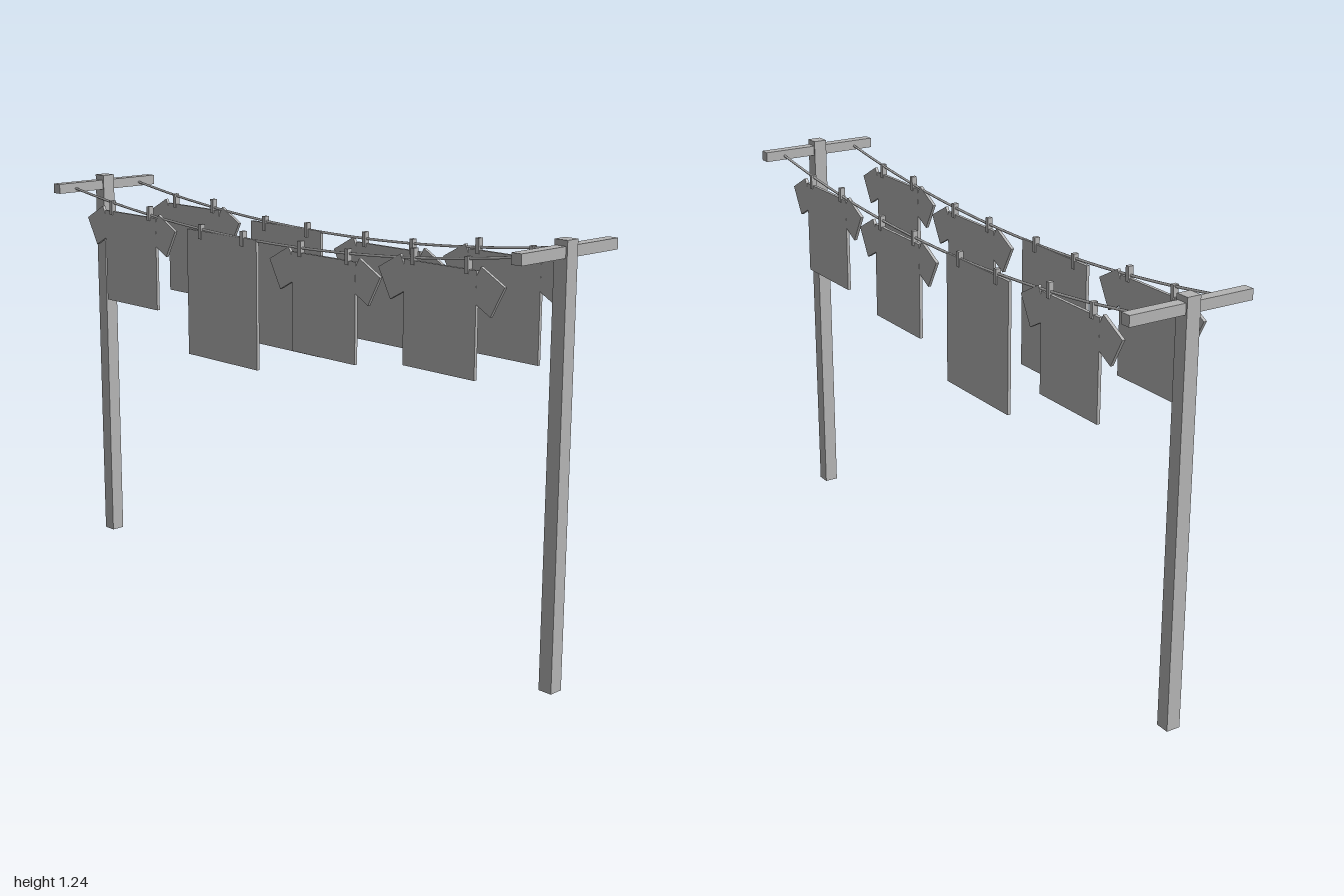
import * as THREE from 'three';

export function createModel() {
  const root = new THREE.Group();
  root.name = 'clothesLine';
  const grey = new THREE.MeshStandardMaterial({ color: 0xb4b4b4 });
  grey.name = 'plain grey';

  const add = (parent, name, geometry, x = 0, y = 0, z = 0) => {
    const mesh = new THREE.Mesh(geometry, grey);
    mesh.name = name;
    mesh.position.set(x, y, z);
    parent.add(mesh);
    return mesh;
  };
  const box = (parent, name, w, h, d, x, y, z = 0) =>
    add(parent, name, new THREE.BoxGeometry(w, h, d), x, y, z);

  // Posts with crossbars
  for (const side of [-1, 1]) {
    box(root, 'post', 0.043, 1.24, 0.043, side * 0.9785, 0.62);
    box(root, 'crossbar', 0.033, 0.031, 0.392, side * 0.9785, 1.2085);
  }

  const cloth = 0.01;

  // Pair of pegs gripping the top edge of a garment
  function addPegs(garment, pegTop) {
    for (const s of [-1, 1]) box(garment, 'peg', 0.013, 0.045, 0.017, s * 0.0965, pegTop - 0.0225);
  }

  // Shirt, origin at the middle of its shoulder line
  function makeShirt() {
    const shirt = new THREE.Group();
    shirt.name = 'shirt';
    box(shirt, 'shirtBody', 0.26, 0.293, cloth, 0, -0.1465);
    for (const s of [-1, 1]) {
      const sleeve = box(shirt, 'sleeve', 0.093, 0.096, cloth * 0.96, s * 0.162, -0.052);
      sleeve.rotation.z = -s * 0.5;
    }
    addPegs(shirt, 0.034);
    return shirt;
  }

  // Towel, origin at the middle of its top edge
  function makeTowel() {
    const towel = new THREE.Group();
    towel.name = 'towel';
    box(towel, 'towelSheet', 0.32, 0.393, cloth, 0, -0.1965);
    addPegs(towel, 0.02);
    return towel;
  }

  // Sagging line
  const points = [];
  for (let i = 0; i <= 8; i++) {
    const t = i / 4 - 1;
    points.push(new THREE.Vector3(t * 0.975, 1.131 + 0.076 * t * t, 0));
  }
  const lineGeometry = new THREE.TubeGeometry(new THREE.CatmullRomCurve3(points), 32, 0.004, 6, false);

  // Both lines carry the same washing
  for (const z of [-0.131, 0.131]) {
    const row = new THREE.Group();
    row.name = z > 0 ? 'frontRow' : 'backRow';
    row.position.z = z;
    add(row, 'line', lineGeometry);
    for (const [make, x, y] of [
      [makeShirt, -0.667, 1.15],
      [makeTowel, -0.222, 1.134],
      [makeShirt, 0.222, 1.119],
      [makeShirt, 0.667, 1.15],
    ]) {
      const garment = make();
      garment.position.set(x, y, 0);
      row.add(garment);
    }
    root.add(row);
  }
  return root;
}
